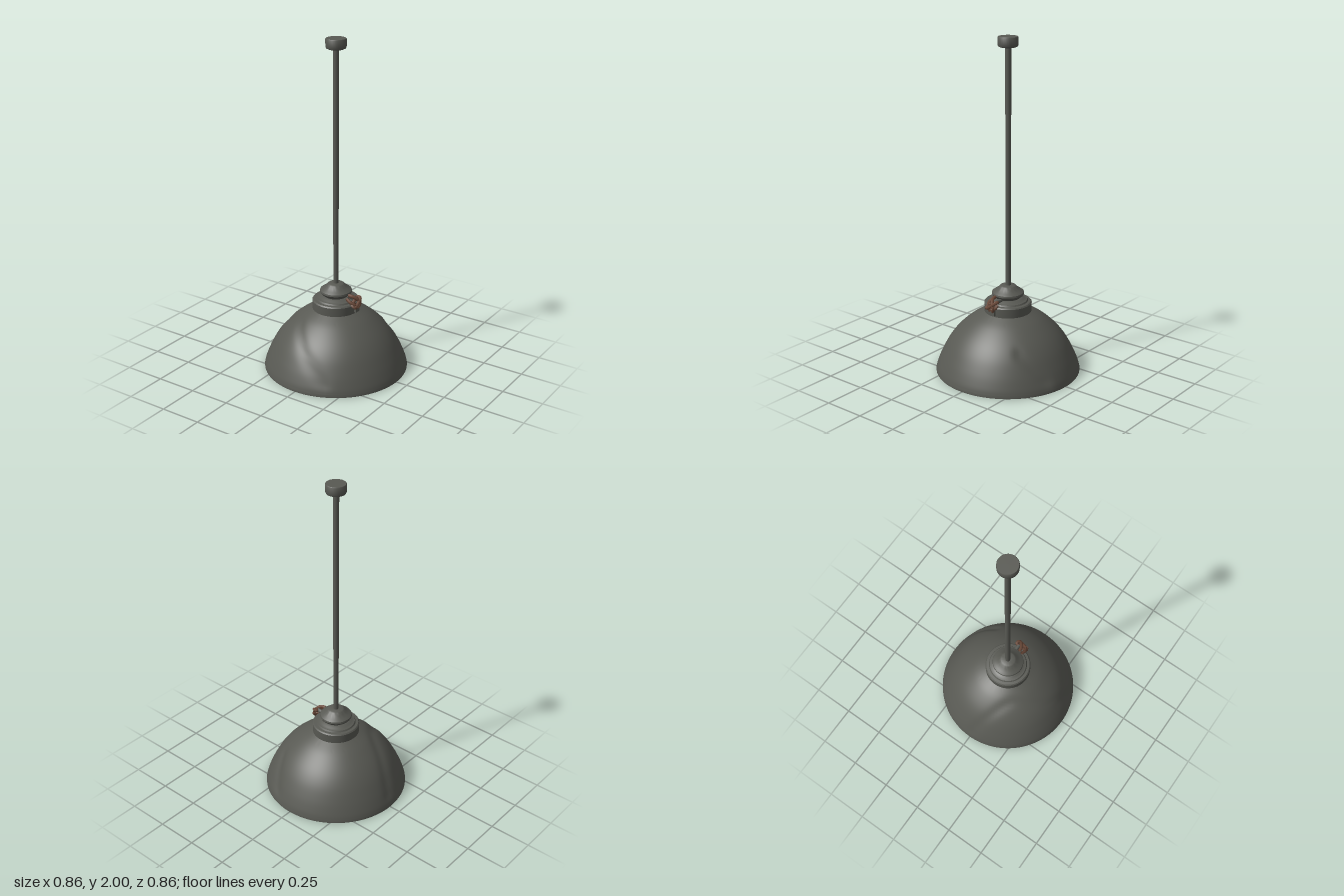
import * as THREE from 'three';
import { toCreasedNormals } from 'three/addons/utils/BufferGeometryUtils.js';

const V = (x, y, z) => new THREE.Vector3(x, y, z);

function material(name, color, side = THREE.FrontSide) {
  const m = new THREE.MeshStandardMaterial({ color, side });
  m.name = name;
  return m;
}

// Shallow creases pressed into the shade: paths seen from above as [x, z]
const crease = (depth, width, path) => ({
  depth, width,
  points: new THREE.SplineCurve(path.map(([x, z]) => new THREE.Vector2(x, z))).getPoints(40),
});
const creases = [
  crease(0.006, 0.028, [[-0.42, 0], [-0.3, 0.07], [-0.16, 0.15], [-0.08, 0.26], [0.03, 0.35], [0.18, 0.38]]),
  crease(0.009, 0.024, [[0.13, -0.4], [0.18, -0.33], [0.215, -0.25]]),
];

function dent(geometry) {
  const pos = geometry.attributes.position;
  const p = V(0, 0, 0);
  const q = new THREE.Vector2();
  for (let i = 0; i < pos.count; i++) {
    p.fromBufferAttribute(pos, i);
    const fade = THREE.MathUtils.smoothstep(p.y, 0.01, 0.08);
    q.set(p.x, p.z);
    for (const { depth, width, points } of creases) {
      const dist = Math.min(...points.map(c => c.distanceTo(q)));
      p.setLength(p.length() - depth * fade * Math.exp(-((dist / width) ** 2)));
    }
    pos.setXYZ(i, p.x, p.y, p.z);
  }
  return geometry;
}

const lathe = (points, segments = 48) =>
  new THREE.LatheGeometry(points.map(([x, y]) => new THREE.Vector2(x, y)), segments);

export function createModel() {
  const group = new THREE.Group();
  const iron = material('dark iron', 0x585953);
  const gold = material('gold lining', 0xcd9a4a);
  const glass = material('cream glass', 0xddd5c6);
  const rust = material('rust', 0x6b4a3a, THREE.DoubleSide);

  const add = (name, geometry, mat, parent = group) => {
    const mesh = new THREE.Mesh(geometry, mat);
    mesh.name = name;
    parent.add(mesh);
    return mesh;
  };
  const turned = (name, points, mat, segments) =>
    add(name, toCreasedNormals(lathe(points, segments), 0.7), mat);

  // Domed shade, outer skin and smooth lining
  const dome = new THREE.SplineCurve([
    [0.431, 0.012], [0.42, 0.05], [0.39, 0.12], [0.345, 0.2],
    [0.288, 0.269], [0.21, 0.335], [0.13, 0.381],
  ].map(([x, y]) => new THREE.Vector2(x, y))).getPoints(32).map(p => [p.x, p.y]);
  const inner = dome.map(([x, y]) => [x - 0.015, y - 0.009]).reverse();
  add('shade', toCreasedNormals(dent(lathe([[0.431, 0.002], ...dome], 112)), 0.7), iron);
  turned('shadeLining', [[0, 0.374], ...inner], gold, 72);
  turned('rim', [[0.414, 0.014], [0.412, 0.002], [0.416, 0], [0.427, 0], [0.431, 0.003]], iron, 112);

  // Stepped collar and cap above the shade
  turned('collar', [
    [0.14, 0.37], [0.141, 0.383], [0.141, 0.428], [0.135, 0.435], [0.119, 0.437],
    [0.114, 0.445], [0.096, 0.448], [0.088, 0.455], [0.07, 0.457],
  ], iron);
  turned('cap', [
    [0.07, 0.45], [0.074, 0.462], [0.09, 0.472], [0.096, 0.482], [0.094, 0.492],
    [0.08, 0.502], [0.06, 0.515], [0.05, 0.528], [0.042, 0.533], [0.014, 0.534],
  ], iron);

  // Rod and ceiling cup
  const rod = add('rod', new THREE.CylinderGeometry(0.0175, 0.0155, 1.45, 20, 1, true), iron);
  rod.position.set(-0.001, 1.235, -0.001);
  turned('ceilingCup', [
    [0, 1.94], [0.045, 1.94], [0.055, 1.945], [0.059, 1.955],
    [0.059, 1.996], [0.056, 2], [0, 2],
  ], iron, 32);

  // Bulb and socket
  turned('socket', [[0, 0.255], [0.04, 0.255], [0.04, 0.374]], iron, 24);
  turned('bulb', [
    ...Array.from({ length: 14 }, (_, i) => {
      const a = -Math.PI / 2 + (i / 13) * 2.45;
      return [Math.max(0, 0.068 * Math.cos(a)), 0.19 + 0.068 * Math.sin(a)];
    }), [0.036, 0.262],
  ], glass, 32);

  // Rusty twisted fastening on the left of the collar
  const fastening = new THREE.Group();
  fastening.name = 'fastening';
  group.add(fastening);
  const wire = (name, pts, r, closed = false) =>
    add(name, new THREE.TubeGeometry(
      new THREE.CatmullRomCurve3(pts.map(p => V(...p)), closed), 20, r, 6, closed), rust, fastening);
  wire('loop', [
    [0.135, 0.468, -0.03], [0.156, 0.465, -0.024], [0.16, 0.442, 0.005],
    [0.156, 0.424, 0.036], [0.14, 0.436, 0.038], [0.136, 0.456, 0.005],
  ], 0.01, true);
  wire('hook', [
    [0.1, 0.482, 0.016], [0.122, 0.48, 0.014], [0.148, 0.466, 0.0],
    [0.16, 0.435, -0.015], [0.15, 0.408, -0.006],
  ], 0.01);
  wire('strap', [
    [0.1, 0.466, 0.034], [0.128, 0.452, 0.04], [0.154, 0.432, 0.025], [0.15, 0.41, 0.012],
  ], 0.01);
  wire('twist', [
    [0.14, 0.455, -0.033], [0.152, 0.438, -0.028], [0.148, 0.42, 0.0], [0.155, 0.445, 0.032],
  ], 0.01);

  // Pin and lug carrying the fastening
  const pin = add('pin', new THREE.CylinderGeometry(0.012, 0.012, 0.055, 12), iron);
  pin.rotation.z = Math.PI / 2;
  pin.position.set(0.108, 0.462, -0.01);
  const lug = add('lug', new THREE.BoxGeometry(0.03, 0.035, 0.035), iron);
  lug.position.set(0.14, 0.402, 0);

  return group;
}
